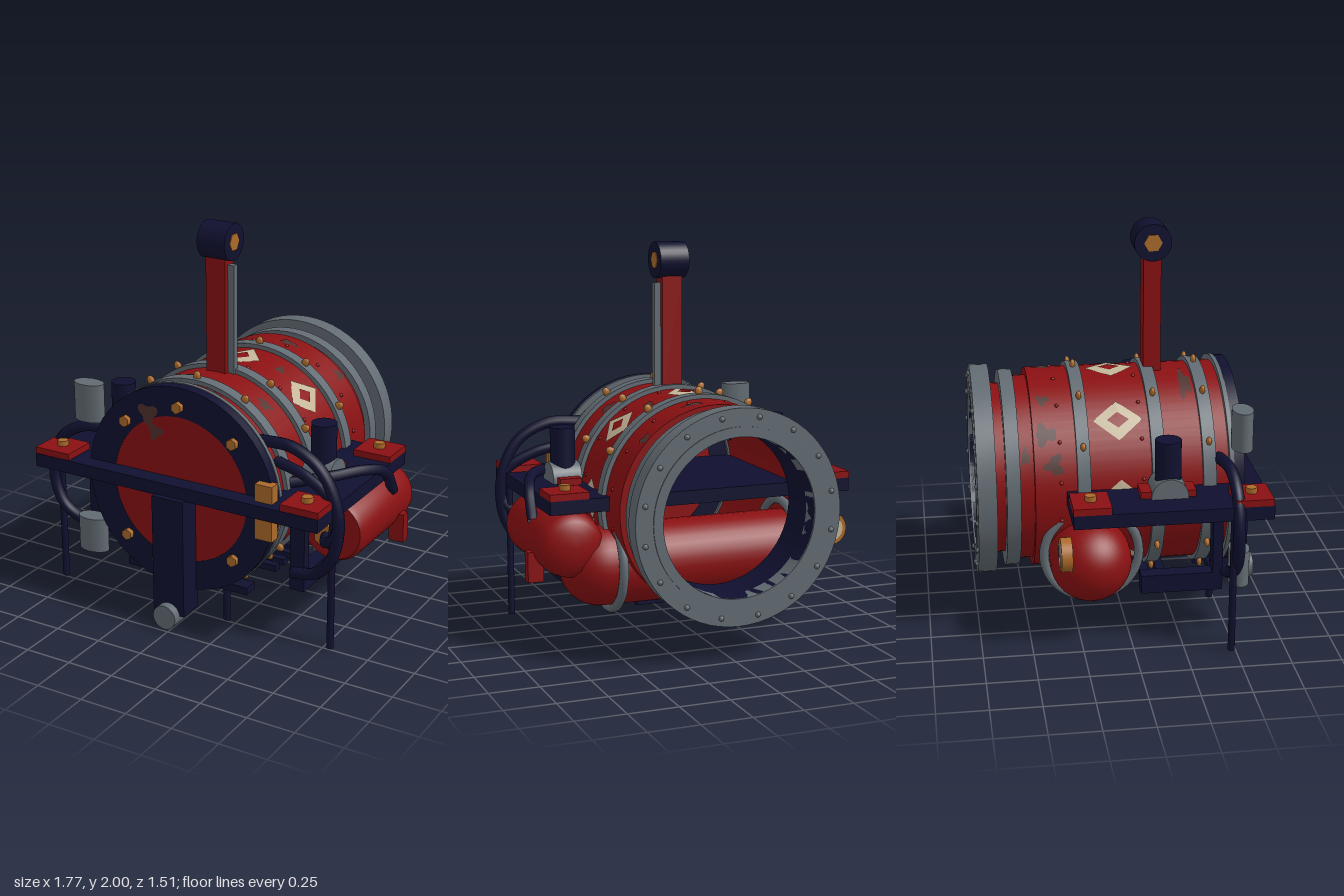
import * as THREE from 'three';
import { toCreasedNormals } from 'three/addons/utils/BufferGeometryUtils.js';

const CX = -0.02, CY = 0.717; // axis of the main drum

function mat(name, color) {
  const m = new THREE.MeshStandardMaterial({ color, side: THREE.DoubleSide });
  m.name = name;
  return m;
}

export function createModel() {
  const red = mat('deep red paint', 0x8a1012), navy = mat('dark navy', 0x101030);
  const grey = mat('steel grey', 0x626b72), gold = mat('brass', 0xac6a2a);
  const cream = mat('cream', 0xc4b598), rust = mat('rust', 0x50332f);
  const model = new THREE.Group();

  // --- helpers ---
  const add = (name, geo, material, x = 0, y = 0, z = 0) => {
    const mesh = new THREE.Mesh(geo, material);
    mesh.name = name;
    mesh.position.set(x, y, z);
    model.add(mesh);
    return mesh;
  };
  const block = (name, m, x0, x1, y0, y1, z0, z1) =>
    add(name, new THREE.BoxGeometry(x1 - x0, y1 - y0, z1 - z0), m, (x0 + x1) / 2, (y0 + y1) / 2, (z0 + z1) / 2);
  const rod = (name, m, r, len, axis, x, y, z, sides = 32) => {
    const g = new THREE.CylinderGeometry(r, r, len, sides);
    if (axis === 'x') g.rotateZ(Math.PI / 2);
    if (axis === 'z') g.rotateX(Math.PI / 2);
    return add(name, g, m, x, y, z);
  };
  // Profile of [radius, z] pairs turned around the z axis
  const turned = (name, m, profile, x = CX, y = CY) => {
    const g = new THREE.LatheGeometry(profile.map(p => new THREE.Vector2(p[0], p[1])), 64);
    g.rotateX(Math.PI / 2);
    return add(name, toCreasedNormals(g, 0.6), m, x, y, 0);
  };
  const hoop = (name, m, rIn, rOut, z0, z1) =>
    turned(name, m, [[rIn, z0], [rOut, z0], [rOut, z1], [rIn, z1], [rIn, z0]]);
  const hose = (name, m, r, pts) => add(name, new THREE.TubeGeometry(
    new THREE.CatmullRomCurve3(pts.map(p => new THREE.Vector3(...p))), 40, r, 10), m);
  // Thin plate wrapped on the drum; angle runs from the top towards +x
  const wrapped = (name, m, R, angle, z, w, l, blob, seed = 0) => {
    const g = new THREE.RingGeometry(0, 1, blob ? 24 : 4, 4), p = g.attributes.position;
    for (let i = 0; i < p.count; i++) {
      const t = Math.atan2(p.getY(i), p.getX(i));
      const k = blob ? 1 + 0.28 * Math.sin(3 * t + seed) + 0.2 * Math.sin(5 * t + 2 * seed) : 1;
      const a = angle + p.getX(i) * w * k / R;
      p.setXYZ(i, R * Math.sin(a), R * Math.cos(a), z - p.getY(i) * l * k);
    }
    g.computeVertexNormals();
    add(name, g, m, CX, CY, 0);
  };

  // --- drum, open at the back ---
  turned('drumShell', red, [[0.41, -0.66], [0.44, -0.66], [0.44, -0.565], [0.478, -0.565], [0.478, -0.46],
    [0.515, -0.46], [0.515, 0.53], [0.5, 0.53], [0.5, -0.455], [0.41, -0.455], [0.41, -0.66]]);
  turned('mouthLining', navy, [[0.4, -0.45], [0.4, -0.742]]);
  hoop('mouthFlange', grey, 0.4, 0.54, -0.745, -0.65);
  hoop('mouthInnerLip', grey, 0.4, 0.45, -0.75, -0.74);
  hoop('neckRing', grey, 0.41, 0.51, -0.6, -0.53);
  hoop('frontRim', grey, 0.49, 0.545, 0.51, 0.532);
  hoop('frontRing', navy, 0.385, 0.54, 0.53, 0.585);
  rod('frontDisc', red, 0.39, 0.05, 'z', CX, CY, 0.558, 64);

  // Drum bands with brass studs
  const stud = new THREE.SphereGeometry(1, 12, 8);
  for (const z of [0.41, 0.155, -0.218]) {
    hoop('drumBand', grey, 0.505, 0.538, z - 0.033, z + 0.033);
    for (let i = 0; i < 12; i++) {
      const a = i * Math.PI / 6;
      const s = add('bandStud', stud, gold, CX + 0.547 * Math.sin(a), CY + 0.547 * Math.cos(a), z);
      s.scale.set(0.021, 0.027, 0.014);
      s.rotation.z = -a;
    }
  }
  // Small rivets on the shell and on the mouth flange
  for (let i = 0; i < 16; i++) {
    const a = (i + 0.5) * Math.PI / 8;
    for (const z of [-0.33, 0.08])
      add('shellRivet', stud, red, CX + 0.515 * Math.sin(a), CY + 0.515 * Math.cos(a), z).scale.setScalar(0.01);
    add('flangeRivet', stud, grey, CX + 0.5 * Math.sin(a), CY + 0.5 * Math.cos(a), -0.745).scale.setScalar(0.014);
  }
  // Front hex bolts and diamond plates, eight each
  for (let i = 0; i < 8; i++) {
    const a = i * Math.PI / 4;
    rod('frontBolt', gold, 0.03, 0.05, 'z', CX + 0.44 * Math.sin(a), CY + 0.44 * Math.cos(a), 0.587, 6);
    wrapped('diamond', cream, 0.522, a, -0.033, 0.107, 0.125, false);
    wrapped('diamondCentre', red, 0.526, a, -0.033, 0.043, 0.055, false);
  }
  // Worn patches: [radius, angle, z, half width, half length]
  [[0.518, -0.9, -0.4, 0.05, 0.05], [0.518, 0.18, -0.37, 0.05, 0.025], [0.481, 0.12, -0.51, 0.015, 0.03],
    [0.518, -0.52, -0.4, 0.03, 0.03], [0.518, -0.35, 0.33, 0.1, 0.03], [0.518, 0.42, -0.06, 0.025, 0.03],
    [0.518, 0.8, -0.42, 0.03, 0.03], [0.518, 0.65, 0.28, 0.04, 0.03], [0.481, -1.1, -0.5, 0.04, 0.02],
    [0.518, -1.2, -0.36, 0.05, 0.04], [0.518, 2.3, 0.3, 0.06, 0.04], [0.518, -2.4, 0.02, 0.05, 0.04],
    [0.518, 0.25, 0.47, 0.05, 0.02]]
    .forEach((p, i) => wrapped('wornPatch', rust, ...p, true, i * 1.7));
  [[-0.2, 1.09, 0.588, 0.05], [-0.16, 1.0, 0.586, 0.038], [-0.16, 0.31, 0.588, 0.032]].forEach(([x, y, z, r], i) => {
    const g = new THREE.CircleGeometry(r, 20), p = g.attributes.position;
    for (let j = 1; j < p.count; j++) {
      const k = 1 + 0.3 * Math.sin(3 * Math.atan2(p.getY(j), p.getX(j)) + i);
      p.setXY(j, p.getX(j) * k, p.getY(j) * k);
    }
    add('frontWornPatch', g, rust, x, y, z);
  });

  // --- chimney post ---
  block('post', red, -0.075, 0.035, 1.2, 1.84, 0.14, 0.23);
  block('postRail', grey, 0.035, 0.07, 1.2, 1.79, 0.167, 0.202);
  rod('postBarrel', navy, 0.095, 0.158, 'x', CX + 0.003, 1.906, 0.185);
  rod('postHub', gold, 0.047, 0.166, 'x', CX + 0.003, 1.906, 0.185, 6);

  // --- platform through the drum ---
  block('platform', navy, -0.84, 0.8, 0.705, 0.775, -0.305, 0.675);
  for (const s of [-1, 1]) {
    for (const z of [-0.212, 0.578]) {
      add('cornerPad', new THREE.BoxGeometry(0.206, 0.035, 0.187), red, CX + s * 0.717, 0.792, z);
      rod('padBolt', gold, 0.03, 0.03, 'y', CX + s * 0.715, 0.822, z, 6);
    }
    // Upright valve on a cross cylinder with clamps
    const x = CX + s * 0.597;
    rod('valveStem', navy, 0.065, 0.35, 'y', x, 0.883, 0.185);
    rod('valveBody', grey, 0.092, 0.155, 'x', x, 0.785, 0.185);
    for (const z of [0.07, 0.29])
      add('valveClamp', new THREE.BoxGeometry(0.115, 0.04, 0.055), red, x, 0.79, z);
    // Underside bracket
    add('bracketBeam', new THREE.BoxGeometry(0.08, 0.095, 0.41), navy, CX + s * 0.6, 0.303, 0.255);
    add('bracketUpright', new THREE.BoxGeometry(0.08, 0.46, 0.05), navy, CX + s * 0.6, 0.485, 0.435);
    // Thin legs
    rod('outerLeg', navy, 0.018, 0.72, 'y', CX + s * 0.802, 0.36, 0.48, 12);
    rod('innerLeg', navy, 0.018, 0.3, 'y', CX + s * 0.21, 0.15, 0.48, 12);
    // Collars where the cross boiler leaves the drum
    const collar = new THREE.TorusGeometry(0.24, 0.024, 12, 48);
    collar.rotateY(Math.PI / 2);
    add('boilerCollar', collar, grey, CX + s * 0.48, 0.42, -0.18);
  }

  // --- front support and lower grille ---
  block('frontPost', navy, -0.11, 0.07, 0.08, 0.71, 0.57, 0.705);
  rod('frontFoot', grey, 0.065, 0.12, 'z', CX, 0.075, 0.69);
  for (let i = 0; i < 6; i++)
    add('grilleBar', new THREE.BoxGeometry(0.7, 0.035, 0.045), navy, CX, 0.207, -0.225 + i * 0.085);
  block('grilleFront', navy, -0.375, 0.335, 0.195, 0.235, 0.45, 0.53);

  // --- cross boiler and side tank ---
  const boiler = new THREE.CapsuleGeometry(0.205, 1.06, 12, 32);
  boiler.rotateZ(Math.PI / 2);
  add('crossBoiler', boiler, red, CX, 0.405, -0.19);
  turned('sideTank', red, [[0, -0.36], [0.07, -0.355], [0.13, -0.335], [0.16, -0.3], [0.17, -0.25],
    [0.17, 0.27], [0.155, 0.3], [0, 0.3]], 0.69, 0.545);
  rod('tankNozzle', gold, 0.065, 0.09, 'z', 0.69, 0.545, 0.335, 6);
  block('tankLug', red, 0.8, 0.882, 0.345, 0.5, -0.185, -0.13);

  // --- gauge at the back ---
  rod('gaugeCase', gold, 0.085, 0.055, 'z', -0.715, 0.52, -0.332);
  rod('gaugeDial', cream, 0.062, 0.006, 'z', -0.715, 0.52, -0.361);
  const needle = add('gaugeNeedle', new THREE.BoxGeometry(0.012, 0.06, 0.004), navy, -0.705, 0.535, -0.365);
  needle.rotation.z = -0.6;

  // --- oval canisters and brass front box ---
  for (const [y0, y1] of [[0.98, 1.18], [0.255, 0.44]])
    rod('ovalCanister', grey, 0.085, y1 - y0, 'y', -0.57, (y0 + y1) / 2, 0.56).scale.z = 0.62;
  block('brassBox', gold, 0.435, 0.53, 0.575, 0.865, 0.57, 0.63);

  // --- hoses ---
  hose('rightHose', navy, 0.03, [[-0.48, 0.9, 0.46], [-0.66, 0.9, 0.49], [-0.8, 0.81, 0.5], [-0.855, 0.62, 0.5],
    [-0.8, 0.44, 0.5], [-0.68, 0.36, 0.48], [-0.5, 0.34, 0.45]]);
  hose('leftHose', navy, 0.03, [[0.38, 1.03, 0.48], [0.57, 1.03, 0.49], [0.73, 0.94, 0.5], [0.82, 0.74, 0.5],
    [0.8, 0.52, 0.5], [0.7, 0.39, 0.48], [0.56, 0.35, 0.46]]);
  hose('platformHose', navy, 0.028, [[0.5, 0.8, 0.4], [0.66, 0.82, 0.28], [0.77, 0.82, 0.12], [0.82, 0.77, -0.02],
    [0.83, 0.64, -0.1]]);
  hose('nozzleHose', navy, 0.028, [[0.45, 0.92, 0.44], [0.64, 0.88, 0.47], [0.81, 0.77, 0.5], [0.81, 0.62, 0.5],
    [0.73, 0.55, 0.45], [0.69, 0.545, 0.36]]);

  return model;
}
